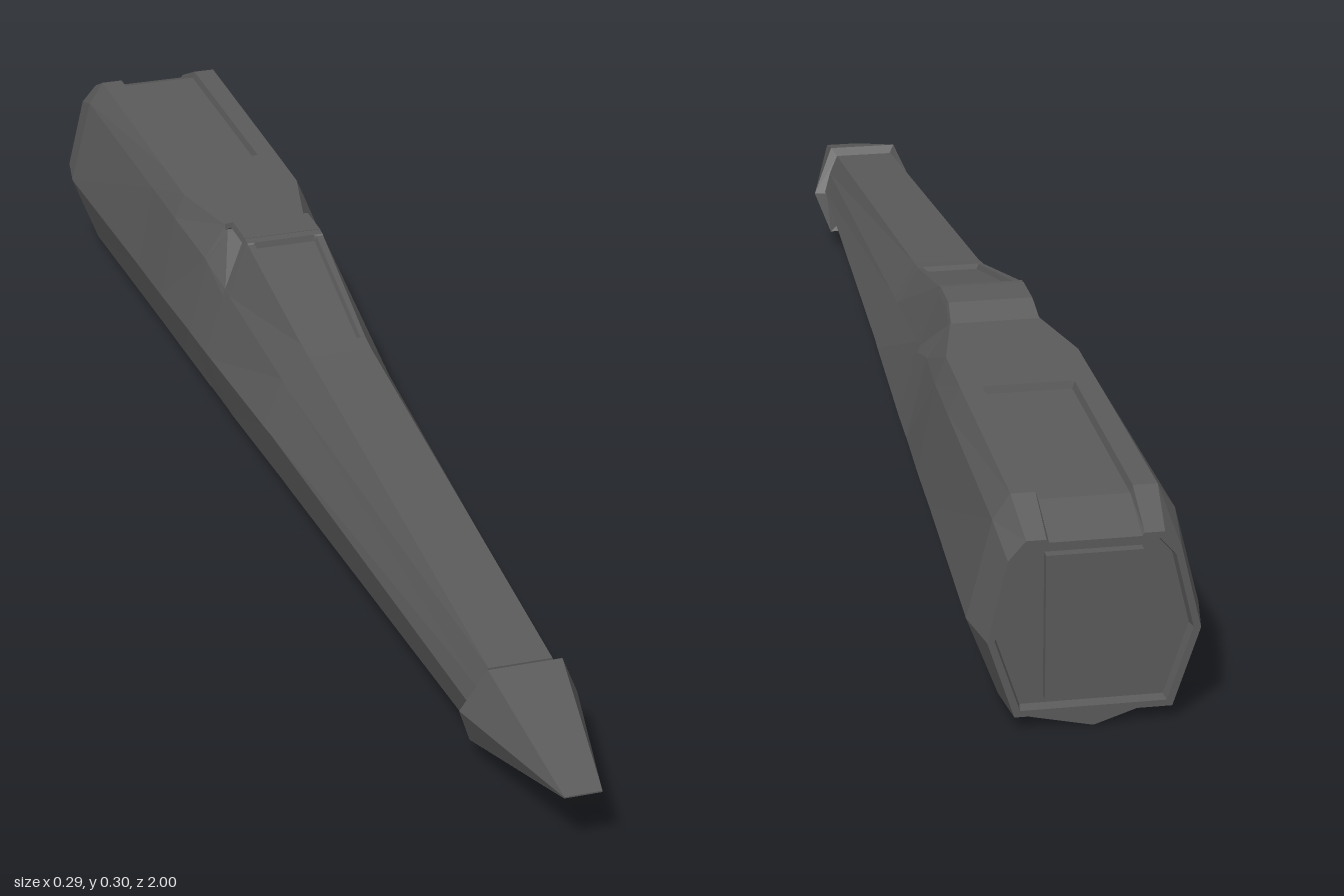
import * as THREE from 'three';

const hull = new THREE.MeshStandardMaterial({ color: 0x5a5a5a });
hull.name = 'hullGrey';

// Mirrors the +x half of a section (bottom to top) into a full counterclockwise ring
const mirror = half => [...half, ...half.map(([x, y, z]) => [-x, y, z]).reverse()];

// Skins a list of rings running from front (+z) to back, closing either end
function loft(name, rings, capFront = true, capBack = true) {
  const pos = [];
  const tri = (...pts) => pts.forEach(p => pos.push(...p));
  const n = rings[0].length;
  for (let i = 0; i < rings.length - 1; i++) {
    for (let j = 0; j < n; j++) {
      const k = (j + 1) % n;
      const a = rings[i][j], b = rings[i][k], c = rings[i + 1][k], d = rings[i + 1][j];
      tri(a, d, c);
      tri(a, c, b);
    }
  }
  const cap = (ring, back) => {
    const mid = [0, 1, 2].map(k => ring.reduce((s, p) => s + p[k], 0) / n);
    ring.forEach((p, j) => {
      const q = ring[(j + 1) % n];
      back ? tri(mid, q, p) : tri(mid, p, q);
    });
  };
  if (capFront) cap(rings[0], false);
  if (capBack) cap(rings[rings.length - 1], true);
  const geo = new THREE.BufferGeometry();
  geo.setAttribute('position', new THREE.Float32BufferAttribute(pos, 3));
  geo.computeVertexNormals();
  const mesh = new THREE.Mesh(geo, hull);
  mesh.name = name;
  return mesh;
}

// Faceted hull section: bottom, waist, shoulder, top and a panel sunk into the top
function section(z, bottom, waist, shoulder, top, inset, depth = 0) {
  return mirror([
    [...bottom, z], [...waist, z], [...shoulder, z], [...top, z],
    [inset, top[1], z], [inset - 0.003, top[1] - depth, z],
  ]);
}

export function createModel() {
  const group = new THREE.Group();

  // Wedge nose with a slanted collar, ending in a short chisel edge
  group.add(loft('nose', [
    mirror([[0.045, 0.04, 0.75], [0.062, 0.09, 0.755], [0.042, 0.145, 0.775]]),
    mirror([[0.058, 0.03, 0.745], [0.08, 0.088, 0.765], [0.05, 0.155, 0.787]]),
    mirror([[0.025, 0.087, 1], [0.025, 0.088, 1], [0.025, 0.089, 1]]),
  ].reverse()));

  // Long forward hull rising to the canopy, with a sunken canopy panel
  group.add(loft('forwardHull', [
    section(0.77, [0.047, 0.037], [0.064, 0.092], [0.055, 0.119], [0.043, 0.147], 0.035),
    section(0.02, [0.074, 0.028], [0.103, 0.122], [0.075, 0.185], [0.046, 0.235], 0.04),
    section(-0.01, [0.075, 0.028], [0.105, 0.122], [0.076, 0.19], [0.047, 0.24], 0.04),
    section(-0.012, [0.075, 0.028], [0.105, 0.122], [0.076, 0.19], [0.047, 0.24], 0.04, 0.007),
    section(-0.24, [0.084, 0.025], [0.116, 0.122], [0.086, 0.218], [0.057, 0.296], 0.047, 0.007),
    section(-0.242, [0.084, 0.025], [0.116, 0.122], [0.086, 0.218], [0.057, 0.298], 0.047),
    section(-0.26, [0.084, 0.025], [0.117, 0.122], [0.087, 0.22], [0.057, 0.3], 0.047),
  ]));

  // Rear hull with a long sunken deck panel and a tapered, rimmed end
  const end = section(-1, [0.098, 0.018], [0.132, 0.12], [0.107, 0.225], [0.085, 0.25], 0.06, 0.004);
  const shrink = (s, z) => end.map(([x, y]) => [x * s, 0.135 + (y - 0.135) * s, z]);
  group.add(loft('rearHull', [
    section(-0.26, [0.084, 0.025], [0.117, 0.122], [0.09, 0.21], [0.086, 0.22], 0.05),
    section(-0.335, [0.086, 0.024], [0.12, 0.122], [0.092, 0.232], [0.06, 0.276], 0.05),
    section(-0.345, [0.087, 0.024], [0.12, 0.122], [0.092, 0.234], [0.06, 0.283], 0.05),
    section(-0.47, [0.091, 0.023], [0.126, 0.122], [0.103, 0.247], [0.088, 0.283], 0.06),
    section(-0.58, [0.094, 0.022], [0.13, 0.122], [0.106, 0.249], [0.089, 0.283], 0.06),
    section(-0.582, [0.094, 0.022], [0.13, 0.122], [0.106, 0.249], [0.089, 0.283], 0.06, 0.01),
    section(-0.93, [0.105, 0.018], [0.145, 0.122], [0.113, 0.25], [0.091, 0.283], 0.06, 0.01),
    end, shrink(0.93, -1), shrink(0.91, -0.985),
  ], false, true));

  // Roof strip bridging the open side windows behind the canopy
  const strip = (z, w, y, t) => mirror([[w + 0.003, y - t, z], [w, y, z]]);
  group.add(loft('canopyRoof', [
    strip(-0.255, 0.057, 0.3, 0.008),
    strip(-0.315, 0.057, 0.3, 0.008),
    strip(-0.35, 0.06, 0.283, 0.01),
  ]));

  // Raised plate on the stern
  const plate = new THREE.Mesh(new THREE.BoxGeometry(0.12, 0.19, 0.02), hull);
  plate.name = 'sternPlate';
  plate.position.set(0, 0.133, -0.988);
  group.add(plate);

  // Small keel under the stern
  group.add(loft('keel', [
    [[0, 0.018, -0.955], [0.05, 0.022, -0.955], [-0.05, 0.022, -0.955]],
    [[0, 0, -0.985], [0.09, 0.02, -0.985], [-0.06, 0.02, -0.985]],
    [[0, 0, -1], [0.09, 0.02, -1], [-0.06, 0.02, -1]],
  ]));

  return group;
}
